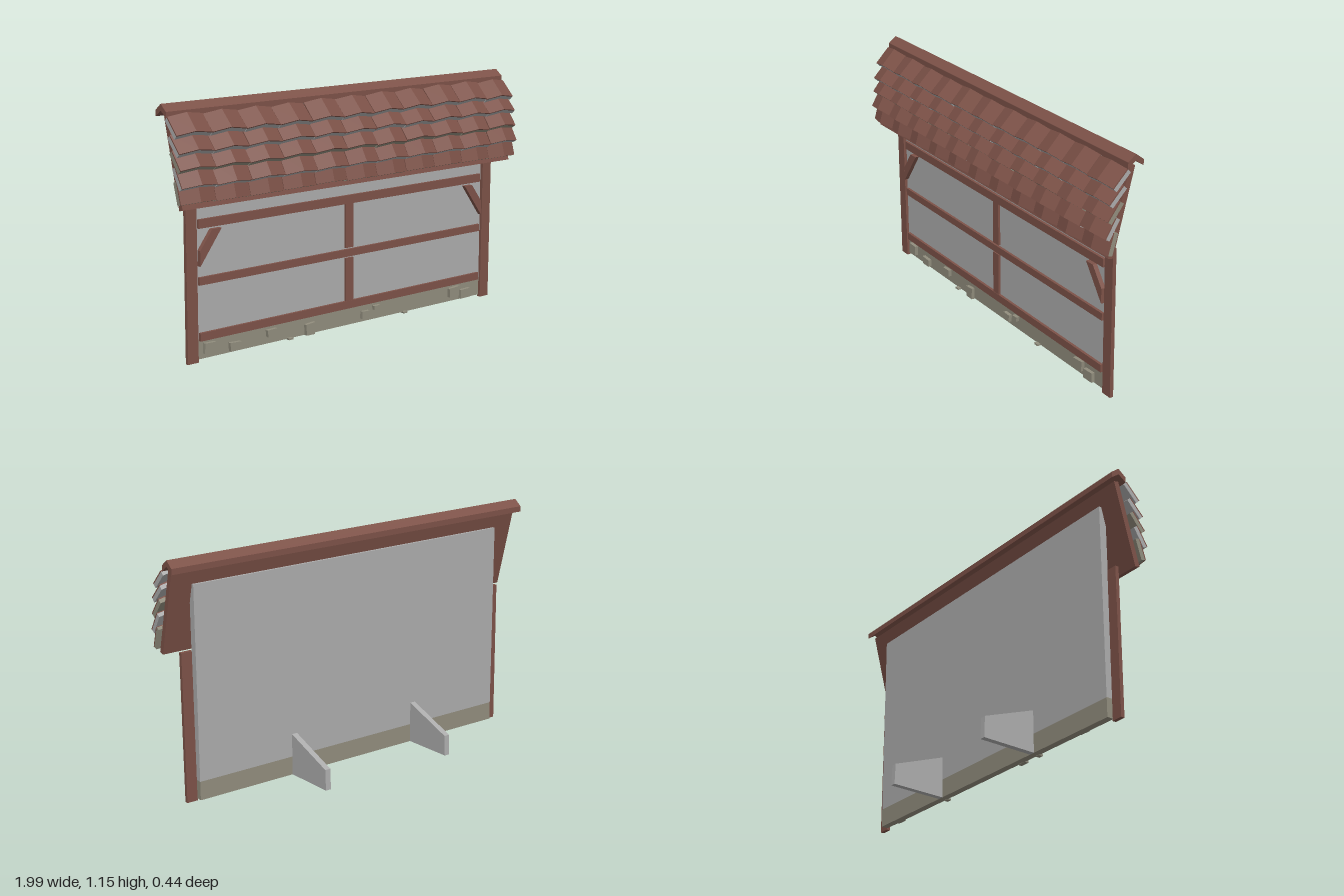
import * as THREE from 'three';

const mat = (name, color) => {
  const m = new THREE.MeshStandardMaterial({ color });
  m.name = name;
  return m;
};

// Small seeded generator for hand-laid irregularity, -1..1
let seed = 7;
const jitter = (amount) => {
  seed = (seed * 16807) % 2147483647;
  return (seed / 2147483647 * 2 - 1) * amount;
};

const extrude = (points, depth) => new THREE.ExtrudeGeometry(
  new THREE.Shape(points.map(([x, y]) => new THREE.Vector2(x, y))),
  { depth, bevelEnabled: false });

export function createModel() {
  const group = new THREE.Group();
  group.name = 'roofedWall';
  const timber = mat('red brown timber', 0x7d5248);
  const plaster = mat('grey plaster', 0xacacac);
  const stone = mat('olive stone', 0x918d7d);

  const add = (name, geometry, material, parent = group) => {
    const mesh = new THREE.Mesh(geometry, material);
    mesh.name = name;
    parent.add(mesh);
    return mesh;
  };
  // Box given by its limits on each axis
  const box = (name, x0, x1, y0, y1, z0, z1, material) => {
    const mesh = add(name, new THREE.BoxGeometry(x1 - x0, y1 - y0, z1 - z0), material);
    mesh.position.set((x0 + x1) / 2, (y0 + y1) / 2, (z0 + z1) / 2);
    return mesh;
  };
  // Side profile in (z, y), extruded along x
  const profile = (name, points, x0, x1, material) => {
    const mesh = add(name, extrude(points.map(([z, y]) => [-z, y]), x1 - x0), material);
    mesh.rotation.y = Math.PI / 2;
    mesh.position.x = x0;
    return mesh;
  };

  // Wall and its stone foot
  box('wallPanel', -0.865, 0.865, 0.1, 1.02, 0.05, 0.085, plaster);
  box('stoneFoot', -0.865, 0.865, 0.01, 0.1, 0.05, 0.085, stone);

  // Timber frame
  for (const [y0, y1] of [[0.093, 0.13], [0.345, 0.38], [0.597, 0.637]])
    box('rail', -0.85, 0.847, y0, y1, 0.08, 0.098, timber);
  box('lowerStud', -0.024, 0.022, 0.13, 0.338, 0.08, 0.096, timber);
  box('upperStud', -0.024, 0.022, 0.387, 0.597, 0.08, 0.096, timber);
  for (const side of [-1, 1]) {
    const post = box('post', side * 0.89 - 0.028, side * 0.89 + 0.028, 0, 0.71, 0.081, 0.099, timber);
    post.rotation.x = 0.006;
    const points = [[0.85, 0.43], [0.85, 0.5], [0.785, 0.588], [0.735, 0.588]];
    const brace = add('brace', extrude(points.map(([x, y]) => [side * x, y]), 0.022), timber);
    brace.position.z = 0.084;
  }

  // Stones standing proud of the foot: x, y, width, height
  const stones = [
    [-0.8, 0.055, 0.055, 0.048], [-0.665, 0.037, 0.058, 0.038], [-0.46, 0.06, 0.05, 0.032],
    [-0.24, 0.035, 0.05, 0.055], [0.097, 0.045, 0.05, 0.035], [0.168, 0.067, 0.036, 0.022],
    [0.678, 0.058, 0.065, 0.045], [0.757, 0.038, 0.065, 0.045],
    [-0.355, 0.011, 0.025, 0.008], [0.35, 0.011, 0.025, 0.008],
  ];
  for (const [x, y, w, h] of stones) {
    const corners = [[-1, -1], [1, -1], [1, 1], [-1, 1]].map(([a, b]) =>
      [w / 2 * (a + jitter(0.15)), h / 2 * (b + jitter(0.15))]);
    add('footStone', extrude(corners, 0.022), stone).position.set(x, y, 0.08);
  }

  // Rear buttresses
  for (const x of [-0.355, 0.35])
    profile('buttress', [[0.055, 0.01], [0.055, 0.214], [-0.215, 0.12], [-0.219, 0.02]],
      x - 0.014, x + 0.014, plaster);

  // Sloping roof board and ridge cap
  profile('roofBoard', [[0.068, 1.098], [0.044, 1.091], [0.144, 0.699], [0.169, 0.705]],
    -0.978, 0.974, timber);
  profile('ridgeCap', [[0.092, 1.09], [0.092, 1.117], [0.053, 1.147], [0.013, 1.117],
    [0.013, 1.09], [0.053, 1.118]], -1, 0.99, timber);

  // Bent roof tiles: grey or olive body under a thin red face
  const columns = 11, pitch = 1.995 / columns, length = 0.1;
  const rise = 0.02, thick = 0.027, skin = 0.006, half = pitch / 2 - 0.001;
  const chevron = (low, high) => extrude([[-half, low], [0, low + rise], [half, low],
    [half, high], [0, high + rise], [-half, high]], length);
  const body = chevron(0, thick - skin);
  const face = chevron(thick - skin, thick);
  // Each row: z and y of the front lower edge, slope in degrees, body material
  const rows = [
    [0.183, 1.037, 45, plaster], [0.2, 0.965, 48, plaster], [0.208, 0.89, 52, stone],
    [0.219, 0.813, 58, plaster], [0.208, 0.738, 73, stone],
  ];
  rows.forEach(([z, y, degrees, material], r) => {
    const row = new THREE.Group();
    row.name = `tileRow${r + 1}`;
    group.add(row);
    for (let c = 0; c < columns; c++) {
      const tile = new THREE.Group();
      tile.name = 'roofTile';
      add('tileBody', body, material, tile);
      add('tileFace', face, timber, tile);
      const a = THREE.MathUtils.degToRad(degrees + jitter(1.5));
      const n = rise + thick;
      tile.rotation.x = a;
      tile.position.set(-1 + pitch * (c + 0.5),
        y + Math.sin(a) * length - Math.cos(a) * n + jitter(0.003),
        z - Math.cos(a) * length - Math.sin(a) * n);
      row.add(tile);
    }
  });

  return group;
}
